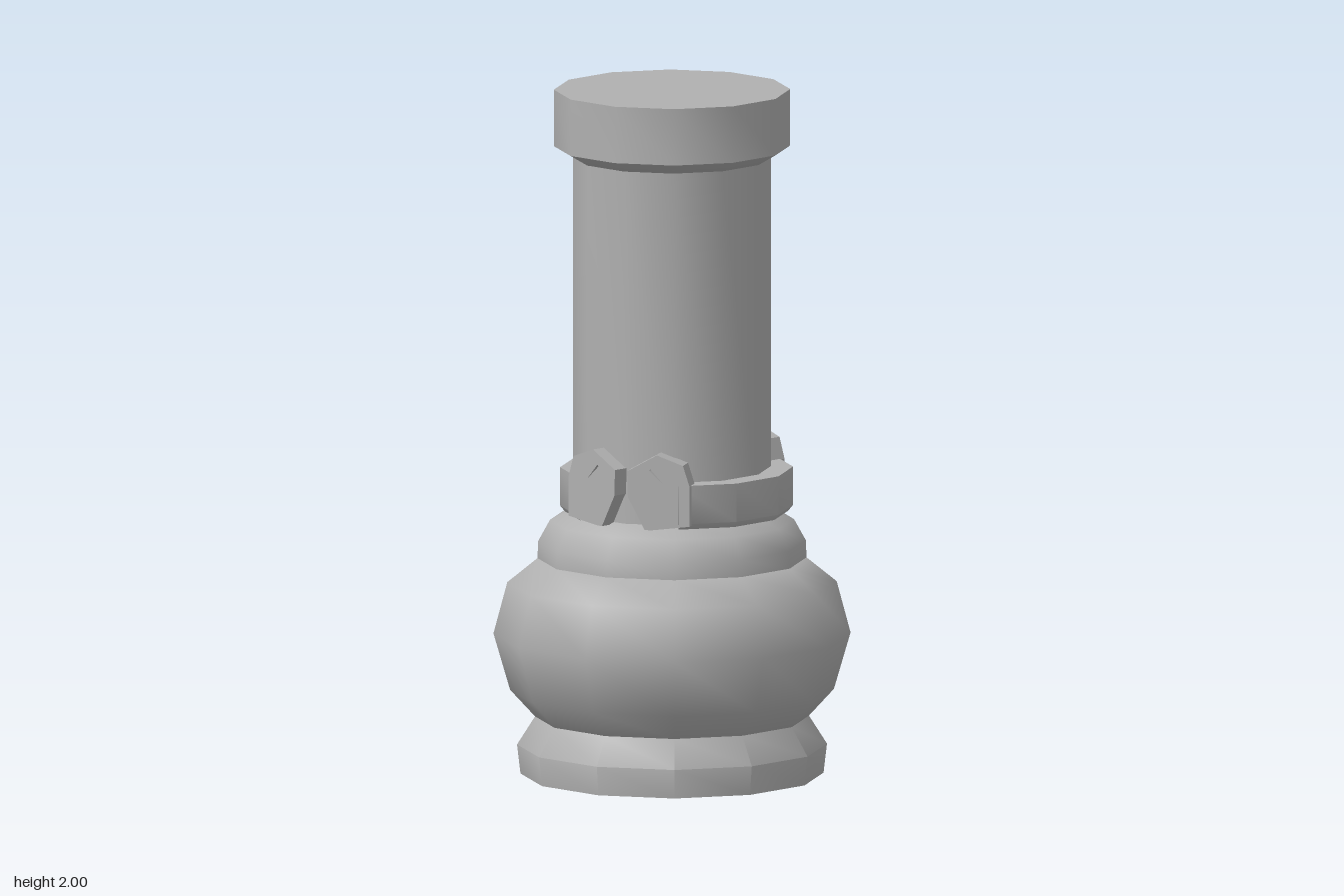
import * as THREE from 'three';
import { toCreasedNormals } from 'three/addons/utils/BufferGeometryUtils.js';

const SIDES = 12;
const rad = THREE.MathUtils.degToRad;

export function createModel() {
  const model = new THREE.Group();
  model.name = 'column';
  const stone = new THREE.MeshStandardMaterial({ color: 0xb0b0b0 });
  stone.name = 'grey stone';

  // Turned part from a bottom-to-top profile of [radius, height]
  function turned(name, profile, parent = model, segments = SIDES, start = 0, sweep = Math.PI * 2) {
    const points = profile.map(([r, y]) => new THREE.Vector2(r, y));
    const geometry = toCreasedNormals(new THREE.LatheGeometry(points, segments, start, sweep), rad(45));
    const mesh = new THREE.Mesh(geometry, stone);
    mesh.name = name;
    parent.add(mesh);
    return mesh;
  }

  turned('base', [[0, 0], [0.437, 0], [0.447, 0.085], [0.395, 0.167], [0, 0.167]]);
  turned('bulge', [[0.385, 0.16], [0.395, 0.167], [0.467, 0.245], [0.515, 0.41], [0.475, 0.56], [0.388, 0.63], [0.3, 0.635]]);
  turned('shoulder', [[0.388, 0.63], [0.386, 0.68], [0.352, 0.742], [0.285, 0.772]]);
  turned('shaft', [[0.285, 0.76], [0.285, 1.81]]);
  turned('capital', [[0.27, 1.802], [0.285, 1.802], [0.341, 1.835], [0.341, 2], [0, 2]]);

  // Scroll plate: outline in tangent and height, with a thin carved slit
  const outline = [[-0.066, 0.935], [0.022, 0.985], [0.1, 0.957], [0.12, 0.895],
    [0.12, 0.78], [0.006, 0.765], [-0.014, 0.765], [-0.064, 0.86]];
  const slit = [[0.0, 0.938], [0.045, 0.897], [0.004, 0.943]];
  function scroll(parent, angle, flip) {
    const toPoints = (list) => list.map(([u, y]) => new THREE.Vector2(u * flip, y));
    const shape = new THREE.Shape(toPoints(outline));
    shape.holes.push(new THREE.Path(toPoints(slit)));
    const geometry = new THREE.ExtrudeGeometry(shape, { depth: 0.06, bevelEnabled: false });
    geometry.translate(0, 0, 0.264);
    const mesh = new THREE.Mesh(geometry, stone);
    mesh.name = 'scroll';
    mesh.rotation.y = rad(angle);
    parent.add(mesh);
  }

  // Collar: two half bands, each ending in a scroll at front and back
  const band = [[0.27, 0.768], [0.322, 0.768], [0.336, 0.785], [0.336, 0.897], [0.27, 0.897]];
  for (const side of [1, -1]) {
    const collar = new THREE.Group();
    collar.name = side > 0 ? 'leftCollar' : 'rightCollar';
    collar.position.x = 0.015;
    turned('band', band, collar, 4, rad(side > 0 ? 30 : 210), rad(120));
    scroll(collar, 15 * side, side);
    scroll(collar, 165 * side, -side);
    model.add(collar);
  }
  return model;
}
